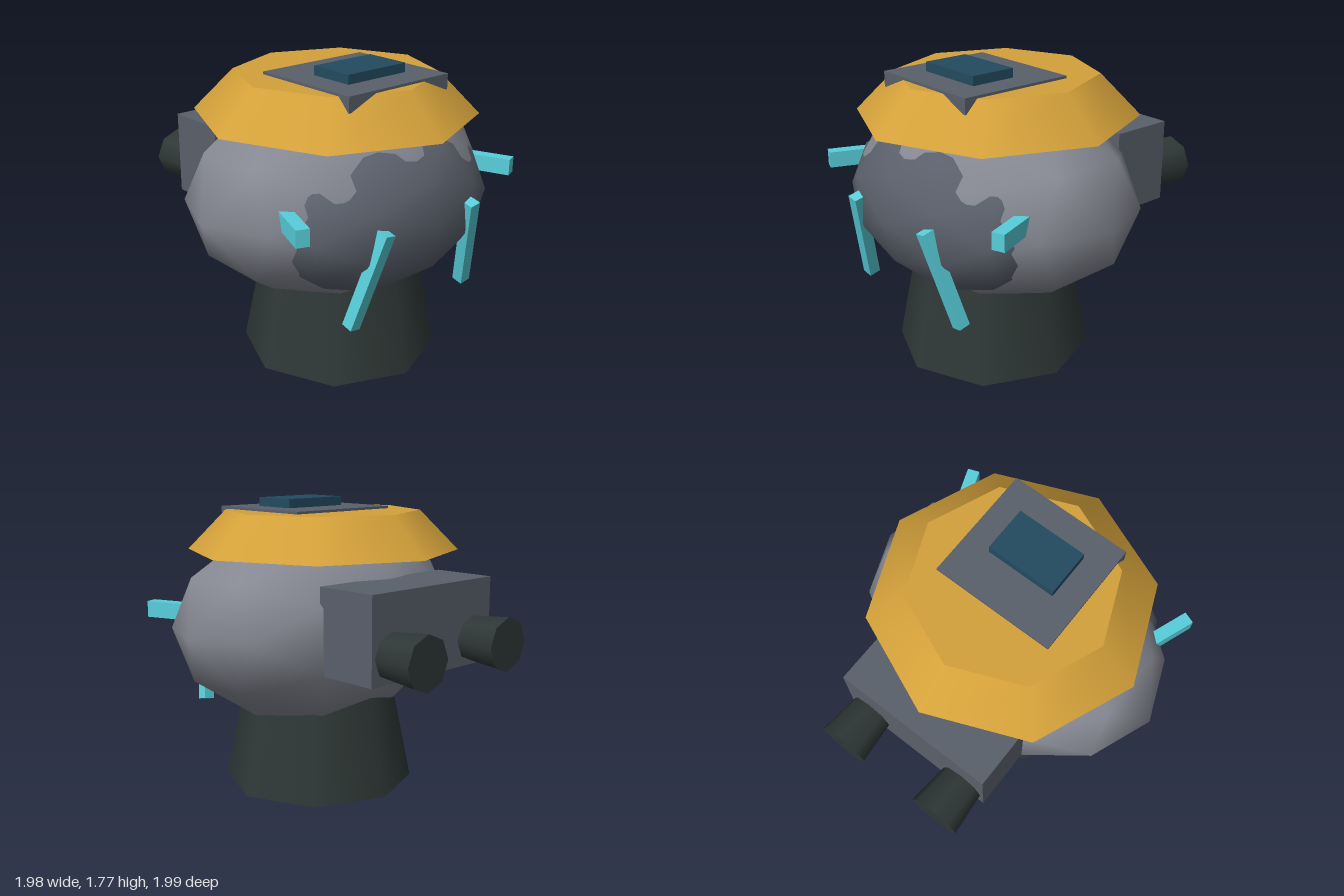
import * as THREE from 'three';

const mat = (name, color) => {
  const m = new THREE.MeshStandardMaterial({ color });
  m.name = name;
  return m;
};

export function createModel() {
  const grey = mat('light grey', 0x868993);
  const slate = mat('slate grey', 0x5a606b);
  const gold = mat('gold', 0xd4a13a);
  const dark = mat('dark green grey', 0x2e3836);
  const cyan = mat('cyan', 0x58cfdb);
  const blue = mat('deep blue', 0x234b60);

  const model = new THREE.Group();
  model.name = 'robotHead';

  const add = (name, geometry, material, x, y, z) => {
    const mesh = new THREE.Mesh(geometry, material);
    mesh.name = name;
    mesh.position.set(x, y, z);
    model.add(mesh);
    return mesh;
  };
  const box = (w, h, d) => new THREE.BoxGeometry(w, h, d);
  // Low-poly ellipsoid with smooth normals
  const ellipsoid = (rx, ry, rz) => new THREE.IcosahedronGeometry(1, 1).scale(rx, ry, rz);

  // Neck, head and the face shell bulging out of it
  add('neck', new THREE.CylinderGeometry(0.47, 0.59, 0.6, 8), dark, 0, 0.3, 0.21);
  add('head', ellipsoid(0.99, 0.62, 0.713), grey, 0, 1.03, 0.2);
  add('face', ellipsoid(0.777, 0.475, 0.444), slate, 0, 0.99, 0.536);

  // Octagonal hat with a plate and a panel on top
  add('hat', new THREE.CylinderGeometry(0.593, 0.828, 0.24, 8), gold, 0, 1.585, 0.163);
  add('hatPlate', box(0.75, 0.09, 0.71), slate, 0, 1.675, 0.325);
  add('hatPanel', box(0.43, 0.075, 0.28), blue, 0, 1.737, 0.363);

  // Backpack
  add('backpack', box(0.99, 0.5, 0.395), slate, 0, 1.09, -0.5475);

  // Paired parts
  for (const [side, s] of [['left', 1], ['right', -1]]) {
    const nozzle = new THREE.CylinderGeometry(0.132, 0.158, 0.27, 8).rotateX(Math.PI / 2);
    add(side + 'Nozzle', nozzle, dark, s * 0.34, 0.993, -0.865);

    const tusk = add(side + 'Tusk', box(0.07, 0.59, 0.07), cyan, s * 0.393, 0.755, 0.865);
    tusk.rotation.set(0.238, 0, s * 0.198);

    const horn = add(side + 'CheekBar', box(0.075, 0.097, 0.4), cyan, s * 0.745, 1.112, 0.643);
    horn.rotation.y = s * 0.36;
  }
  return model;
}
